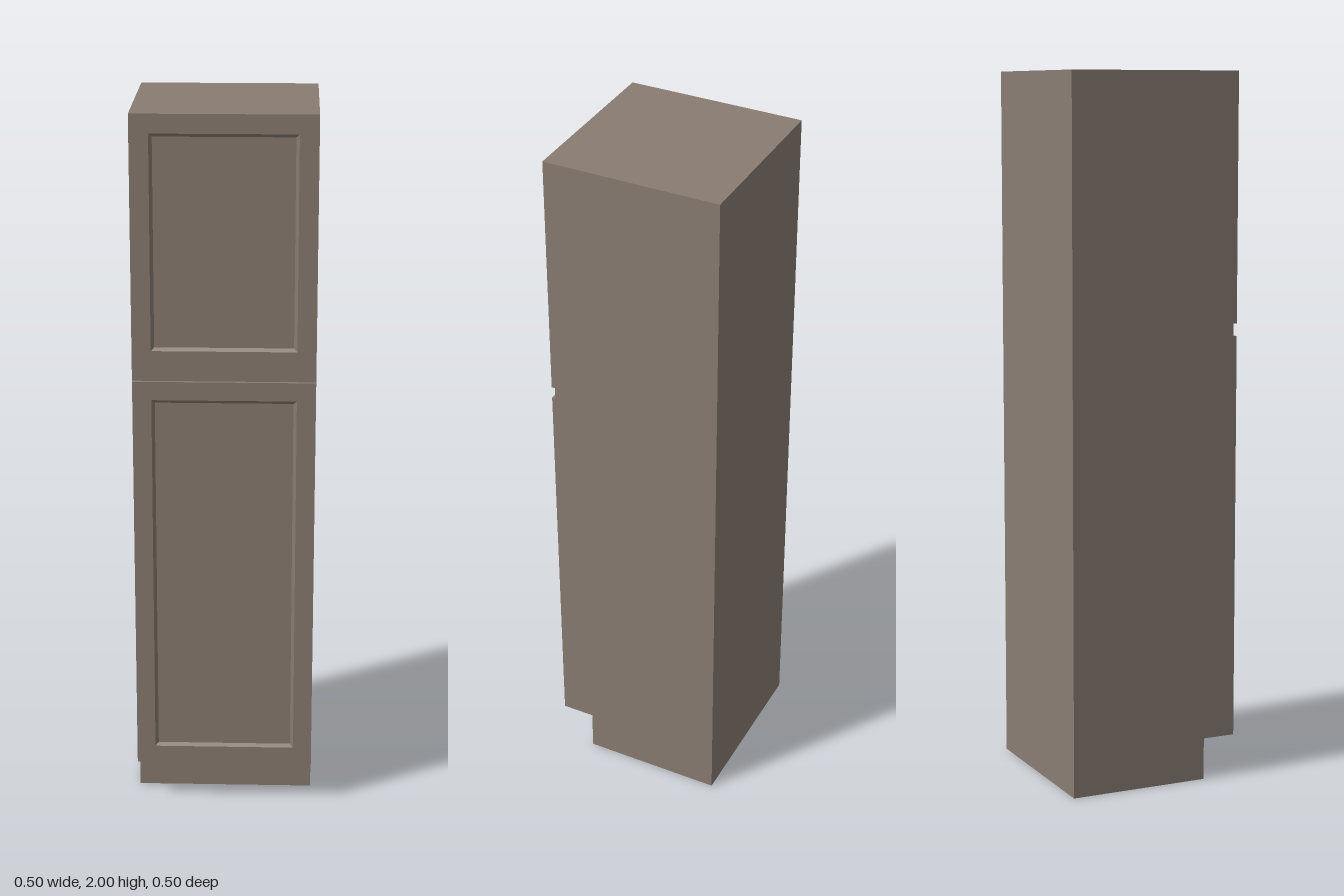
import * as THREE from 'three';

const HALF = 0.25;        // half width and half depth of the cabinet
const DOOR_BACK = 0.24;   // front plane of the carcass
const PANEL_Z = 0.243;    // face of the recessed door panels
const STILE = 0.052;      // width of the door frame
const BEVEL = 0.009;      // width of the sloped moulding

const material = new THREE.MeshStandardMaterial({ color: 0x8a7d72 });

function part(name, geometry) {
  const mesh = new THREE.Mesh(geometry, material);
  mesh.name = name;
  return mesh;
}

// Corners of a rectangle, anticlockwise from bottom left
const corners = (x, y0, y1) => [[-x, y0], [x, y0], [x, y1], [-x, y1]];
const toPoints = (list) => list.map(([x, y]) => new THREE.Vector2(x, y));

// Sloped ring joining the frame opening to the panel face
function mouldingGeometry(outer, inner) {
  const positions = [];
  for (let i = 0; i < 4; i++) {
    const j = (i + 1) % 4;
    const a = [...outer[i], HALF], b = [...outer[j], HALF];
    const c = [...inner[j], PANEL_Z], d = [...inner[i], PANEL_Z];
    positions.push(...a, ...b, ...c, ...a, ...c, ...d);
  }
  const geometry = new THREE.BufferGeometry();
  geometry.setAttribute('position', new THREE.Float32BufferAttribute(positions, 3));
  geometry.computeVertexNormals();
  return geometry;
}

function createDoor(name, y0, y1) {
  const door = new THREE.Group();
  door.name = name;
  const outer = corners(HALF - STILE, y0 + STILE, y1 - STILE);
  const inner = corners(HALF - STILE - BEVEL, y0 + STILE + BEVEL, y1 - STILE - BEVEL);

  // Flat frame with a rectangular opening
  const shape = new THREE.Shape(toPoints(corners(HALF, y0, y1)));
  shape.holes.push(new THREE.Path(toPoints(outer)));
  const frame = new THREE.ExtrudeGeometry(shape, { depth: HALF - DOOR_BACK, bevelEnabled: false });
  frame.translate(0, 0, DOOR_BACK);

  // Recessed panel
  const panel = new THREE.BoxGeometry(
    2 * (HALF - STILE - BEVEL), y1 - y0 - 2 * (STILE + BEVEL), PANEL_Z - DOOR_BACK);
  panel.translate(0, (y0 + y1) / 2, (PANEL_Z + DOOR_BACK) / 2);

  door.add(
    part(name + 'Frame', frame),
    part(name + 'Moulding', mouldingGeometry(outer, inner)),
    part(name + 'Panel', panel));
  return door;
}

export function createModel() {
  const cabinet = new THREE.Group();
  cabinet.name = 'tallCabinet';

  // Carcass: side profile (z, y) with the toe kick cut out, extruded across the width
  const profile = new THREE.Shape(toPoints([
    [-HALF, 0], [0.155, 0], [0.155, 0.12], [DOOR_BACK, 0.12], [DOOR_BACK, 2], [-HALF, 2],
  ]));
  const carcass = new THREE.ExtrudeGeometry(profile, { depth: 2 * HALF, bevelEnabled: false });
  carcass.rotateY(-Math.PI / 2).translate(HALF, 0, 0);
  cabinet.add(part('carcass', carcass));

  // Doors, with a gap between them
  cabinet.add(createDoor('lowerDoor', 0.12, 1.27), createDoor('upperDoor', 1.305, 2));
  return cabinet;
}
